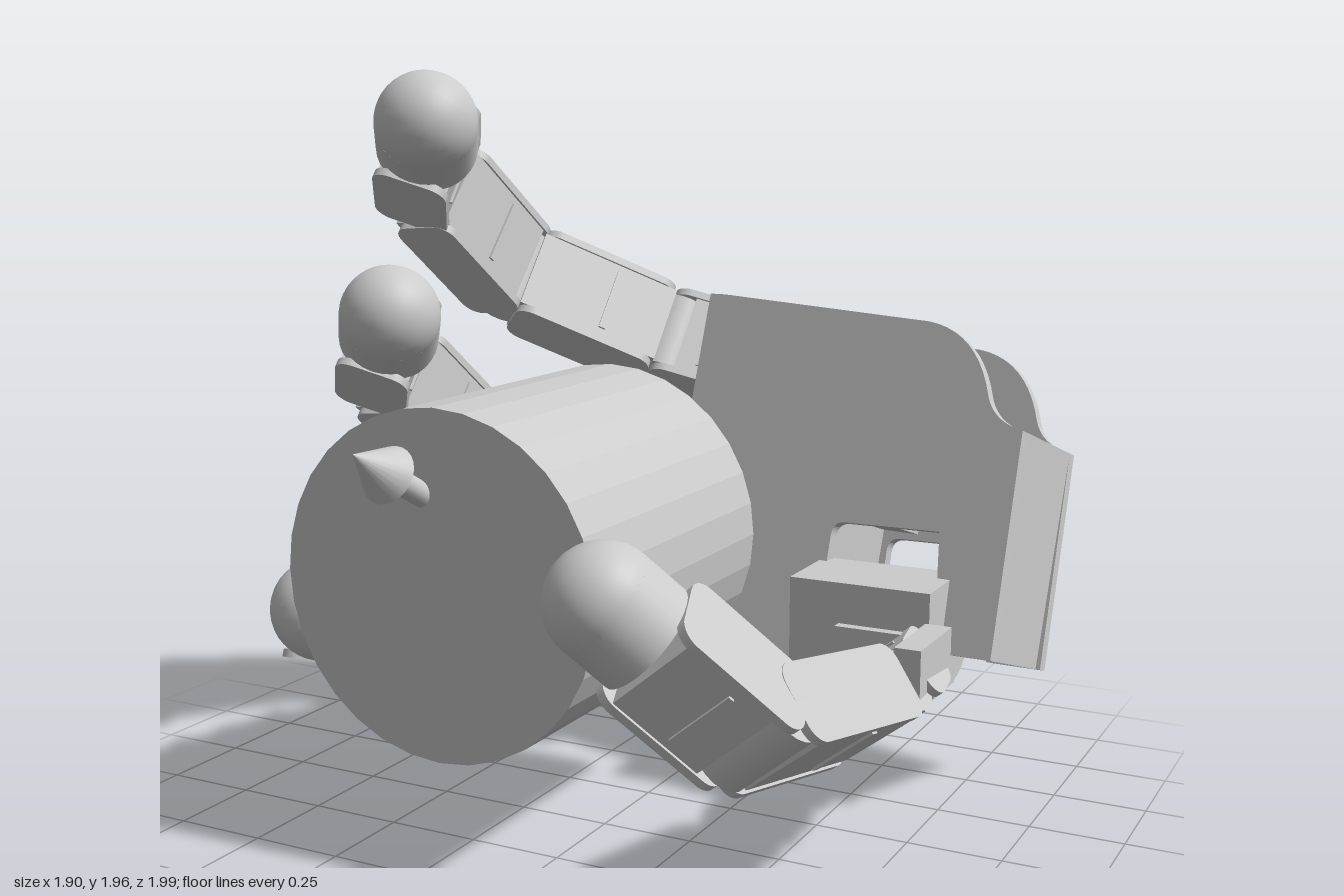
import * as THREE from 'three';

const V = (x, y, z) => new THREE.Vector3(x, y, z);
const grey = new THREE.MeshStandardMaterial({ color: 0xcccccc });
const faceted = new THREE.MeshStandardMaterial({ color: 0xcccccc, flatShading: true });

function add(parent, name, geometry, x = 0, y = 0, z = 0) {
  const mesh = new THREE.Mesh(geometry, grey);
  mesh.name = name;
  mesh.position.set(x, y, z);
  parent.add(mesh);
  return mesh;
}

// box given by its min and max corners
function block(parent, name, x0, x1, y0, y1, z0, z1) {
  return add(parent, name, new THREE.BoxGeometry(x1 - x0, y1 - y0, z1 - z0),
    (x0 + x1) / 2, (y0 + y1) / 2, (z0 + z1) / 2);
}

// group whose local x runs along dir and local z follows side
function frame(parent, name, origin, dir, side) {
  const x = dir.clone().normalize();
  const y = side.clone().cross(x).normalize();
  const z = x.clone().cross(y);
  const group = new THREE.Group();
  group.name = name;
  group.position.copy(origin);
  group.quaternion.setFromRotationMatrix(new THREE.Matrix4().makeBasis(x, y, z));
  parent.add(group);
  return group;
}

// flat rounded plate in the local xy plane
function roundedPlate(x0, x1, h, r, depth) {
  const s = new THREE.Shape();
  s.moveTo(x0 + r, -h);
  s.lineTo(x1 - r, -h);
  s.absarc(x1 - r, -h + r, r, -Math.PI / 2, 0);
  s.absarc(x1 - r, h - r, r, 0, Math.PI / 2);
  s.absarc(x0 + r, h - r, r, Math.PI / 2, Math.PI);
  s.absarc(x0 + r, -h + r, r, Math.PI, Math.PI * 1.5);
  return new THREE.ExtrudeGeometry(s, { depth, bevelEnabled: false, curveSegments: 6 });
}

const W = 0.12; // half width of the finger core

// one link: solid core, two rounded side plates and a hinge barrel at its start
function link(parent, name, p, q, side, h = 0.1, start = 0, end = 0.04) {
  const L = p.distanceTo(q);
  const g = frame(parent, name, p, q.clone().sub(p), side);
  block(g, 'linkCore', 0.05, L - 0.04, -h * 0.93, h * 0.93, -W, W);
  block(g, 'linkRib', L * 0.42, L * 0.46, -h, h, -W * 0.8, W * 0.8);
  for (const z of [-W - 0.022, W]) {
    add(g, 'sidePlate', roundedPlate(start, L - end, h, 0.05, 0.022), 0, 0, z);
  }
  add(g, 'hingeBarrel', new THREE.CylinderGeometry(h * 0.85, h * 0.85, W * 1.95, 20)).rotateX(Math.PI / 2);
  return g;
}

// fingertip: short link ending in a domed pad
function tip(parent, p, q, side) {
  const L = p.distanceTo(q);
  const g = link(parent, 'fingertipLink', p, p.clone().lerp(q, 0.74), side, 0.105, -0.02, 0);
  add(g, 'tipSleeve', new THREE.CylinderGeometry(0.138, 0.138, 0.13, 32), L - 0.065).rotateZ(Math.PI / 2);
  add(g, 'tipDome', new THREE.SphereGeometry(0.138, 32, 20), L);
}

function finger(parent, name, points) {
  const [j0, j1, j2, j3, t] = points.map((p) => V(...p));
  const g = new THREE.Group();
  g.name = name;
  parent.add(g);
  const side = j2.clone().sub(j1).cross(t.clone().sub(j2)).normalize();
  link(g, 'knuckle', j0, j1, side, 0.095, 0, -0.03);
  link(g, 'proximalLink', j1, j2, side, 0.1, 0.05);
  link(g, 'middleLink', j2, j3, side);
  tip(g, j3, t, side);
}

// palm plate outline with the thumb notch on the lower edge
function palmOutline() {
  const s = new THREE.Shape();
  s.moveTo(0, 0);
  s.lineTo(0.38, 0.03);
  s.quadraticCurveTo(0.485, 0.04, 0.485, 0.16);
  s.lineTo(0.48, 0.6);
  s.quadraticCurveTo(0.48, 0.64, 0.52, 0.64);
  s.lineTo(0.8, 0.65);
  s.lineTo(0.84, 0.33);
  s.lineTo(1.0, 0.335);
  s.lineTo(0.987, 0.945);
  s.quadraticCurveTo(0.9, 0.96, 0.875, 1.03);
  s.quadraticCurveTo(0.82, 1.2, 0.67, 1.22);
  s.lineTo(0, 1.26);
  return s;
}

function palm(parent) {
  const g = frame(parent, 'palm', V(-0.115, 0.13, -0.23), V(0.992, 0, 0.12), V(-0.113, 0.312, 0.94));
  for (const z of [-0.4, -0.035]) {
    add(g, z < -0.1 ? 'backPlate' : 'frontPlate', new THREE.ExtrudeGeometry(palmOutline(),
      { depth: 0.035, bevelEnabled: false, curveSegments: 10 }), 0, 0, z);
  }
  // walls and drives between the plates
  block(g, 'crossWall', 0.36, 0.57, 0.66, 1.21, -0.37, -0.03);
  block(g, 'wristBlock', 0.84, 0.987, 0.335, 0.945, -0.37, -0.03);
  block(g, 'lowerWall', 0.39, 0.46, 0.12, 0.66, -0.37, -0.03);
  for (const [y0, y1] of [[0.08, 0.36], [0.46, 0.8], [0.88, 1.13]]) {
    block(g, 'driveUnit', 0.06, 0.33, y0, y1, -0.35, -0.05);
    block(g, 'driveRail', 0.33, 0.38, y0 + 0.03, y1 + 0.04, -0.32, -0.1);
  }
  // stepped finger brackets along the open edge
  block(g, 'edgeWall', 0.01, 0.05, 0.03, 1.23, -0.36, -0.04);
  for (const y of [0.16, 0.63, 1.1]) {
    block(g, 'fingerBracket', -0.06, 0.01, y - 0.12, y + 0.12, -0.29, -0.1);
    for (const d of [-0.13, 0.13]) {
      block(g, 'bracketEar', -0.05, 0.01, y + d - 0.02, y + d + 0.02, -0.33, -0.03);
      block(g, 'bracketFoot', -0.03, 0.02, y + d - 0.04, y + d + 0.04, -0.38, -0.3);
    }
  }
  block(g, 'edgeStrip', -0.05, 0, 0.05, 1.26, -0.035, 0);
}

function thumb(parent) {
  const g = new THREE.Group();
  g.name = 'thumb';
  parent.add(g);
  const side = V(0.79, 0.61, 0);
  const k0 = V(0.66, 0.41, -0.1), k1 = V(0.685, 0.395, 0.09), k2 = V(0.605, 0.475, 0.64), t = V(0.335, 0.795, 0.855);
  // drive standing in the palm notch
  block(g, 'thumbDrive', 0.36, 0.75, 0.33, 0.63, -0.36, -0.13);
  add(g, 'thumbDriveBarrel', new THREE.CylinderGeometry(0.15, 0.15, 0.38, 24), 0.555, 0.48, -0.36).rotateZ(Math.PI / 2);
  block(g, 'thumbMount', 0.5, 0.72, 0.36, 0.52, -0.19, -0.1);
  block(g, 'thumbMountArm', 0.74, 0.81, 0.42, 0.55, -0.13, 0.11);
  link(g, 'thumbKnuckle', k0, k1, side, 0.085, 0, 0.02);
  link(g, 'thumbLink', k1, k2, side, 0.1, 0.05, -0.02);
  tip(g, k2, t, side);
}

export function createModel() {
  const model = new THREE.Group();
  model.name = 'grippingHand';
  palm(model);
  finger(model, 'upperFinger', [[-0.1, 1.12, -0.73], [-0.27, 1.17, -0.67], [-0.665, 1.38, -0.405],
    [-0.73, 1.67, -0.06], [-0.565, 1.825, 0.185]]);
  finger(model, 'middleFinger', [[-0.12, 0.68, -0.59], [-0.29, 0.72, -0.54], [-0.815, 0.85, -0.37],
    [-0.86, 1.14, -0.02], [-0.69, 1.31, 0.195]]);
  finger(model, 'lowerFinger', [[-0.14, 0.2, -0.46], [-0.31, 0.225, -0.4], [-0.805, 0.3, -0.21],
    [-0.86, 0.455, 0.23], [-0.71, 0.56, 0.5]]);
  thumb(model);

  // held cylinder
  const held = add(model, 'heldCylinder', new THREE.CylinderGeometry(0.437, 0.437, 0.875, 32), -0.195, 0.73, 0.287);
  held.rotateX(Math.PI / 2);
  held.material = faceted;

  // arrow standing on the cylinder's front
  const arrow = frame(model, 'arrow', V(-0.23, 0.9, 0.62), V(-0.02, 0.19, 0.34), V(1, 0, 0));
  add(arrow, 'arrowShaft', new THREE.CylinderGeometry(0.03, 0.03, 0.26, 20), 0.13).rotateZ(-Math.PI / 2);
  add(arrow, 'arrowHead', new THREE.ConeGeometry(0.072, 0.14, 24), 0.32).rotateZ(-Math.PI / 2);
  return model;
}
